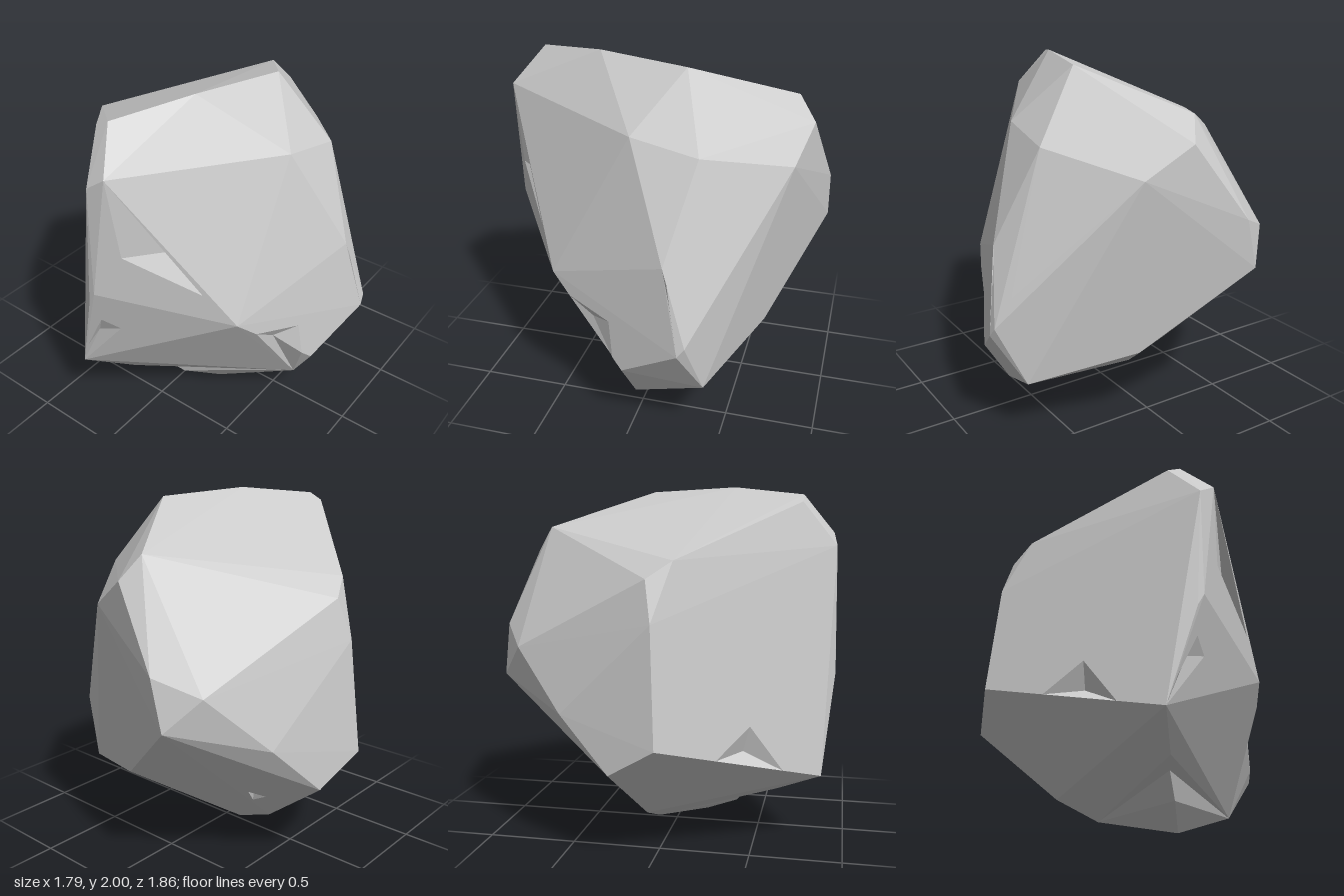
import * as THREE from 'three';
import { ConvexGeometry } from 'three/addons/geometries/ConvexGeometry.js';

const V = (x, y, z) => new THREE.Vector3(x, y, z);
const CENTRE = V(0, 1, 0);

// Corners of the boulder, from the crown down to the foot
const crown = [
  [0.3, 1.98, -0.2], [0.15, 2, 0.32], [-0.06, 1.95, 0.73], [-0.14, 1.91, 0.73],
  [-0.71, 1.61, 0.12], [-0.77, 1.52, -0.01], [-0.08, 1.77, -0.74],
];
const shoulder = [
  [0.05, 1.74, 0.9], [-0.05, 1.67, 0.92], [0.55, 1.67, 0.04], [0.58, 1.6, -0.33],
  [0.24, 1.47, -0.77], [-0.01, 1.64, -0.84], [-0.84, 1.3, 0.03],
];
const waist = [
  [-0.06, 1.02, 0.93], [-0.1, 0.95, 0.93], [0.56, 0.83, 0.5], [0.8, 1.08, -0.2],
  [0.89, 0.62, -0.3], [0.88, 0.67, -0.34], [-0.31, 1.22, -0.93], [-0.38, 0.94, -0.93],
  [-0.53, 1.12, -0.79], [-0.73, 0.8, -0.49], [-0.9, 0.67, 0.06],
];
const foot = [
  [-0.26, 0.4, 0.87], [0.77, 0.39, 0.04], [0.73, 0.335, -0.41], [0.17, 0.47, -0.65],
  [-0.83, 0.51, -0.2], [-0.41, 0.17, -0.09], [-0.17, 0.07, -0.07], [0.64, 0.17, 0],
  [0.2, 0, 0.16],
];

// Each chip: rim points on the surface, then a pit pushed in by depth
const chips = [
  { rim: [[0.08, 1.27, 0.84], [0.24, 1.45, 0.68], [0.37, 1.25, 0.62], [0.42, 1.04, 0.62]], pit: [0.25, 1.29, 0.7], depth: 0.08 },
  { rim: [[-0.68, 0.577, 0.34], [-0.42, 0.467, 0.67], [-0.55, 0.72, 0.52], [-0.48, 0.42, 0.55]], pit: [-0.54, 0.55, 0.5], depth: 0.08 },
  { rim: [[0.61, 0.72, 0.39], [0.74, 0.45, 0.1], [0.7, 0.67, 0.12]], pit: [0.665, 0.6, 0.26], depth: 0.05 },
  { rim: [[-0.1, 0.26, 0.62], [0.07, 0.11, 0.36], [0.14, 0.24, 0.5]], pit: [-0.01, 0.19, 0.49], depth: 0.06 },
  { rim: [[-0.08, 0.8, 0.9], [-0.2, 0.56, 0.88], [0, 0.72, 0.86]], pit: [-0.13, 0.68, 0.88], depth: 0.03 },
  { rim: [[0.82, 1, -0.23], [0.79, 0.85, -0.1], [0.8, 0.84, -0.38]], pit: [0.84, 0.86, -0.25], depth: 0.04 },
  { rim: [[-0.55, 0.34, -0.28], [-0.45, 0.3, -0.28], [-0.49, 0.38, -0.37]], pit: [-0.495, 0.34, -0.31], depth: 0.04 },
];

// Hull as a list of triangles that share their corner vectors
function hullTriangles(points) {
  const pos = new ConvexGeometry(points).getAttribute('position');
  const nearest = (p) => points.reduce((a, b) => (b.distanceToSquared(p) < a.distanceToSquared(p) ? b : a));
  const tris = [];
  for (let i = 0; i < pos.count; i += 3) {
    tris.push([0, 1, 2].map((k) => nearest(V(0, 0, 0).fromBufferAttribute(pos, i + k))));
  }
  return tris;
}

// Adds a point where the ray from the centre through p meets the surface
function insertPoint(tris, p, depth = 0) {
  const d = V(...p).sub(CENTRE);
  for (const tri of tris) {
    const [a, b, c] = tri.map((v) => v.clone().sub(CENTRE));
    const m = new THREE.Matrix3().set(a.x, b.x, c.x, a.y, b.y, c.y, a.z, b.z, c.z);
    if (Math.abs(m.determinant()) < 1e-9) continue;
    const w = d.clone().applyMatrix3(m.invert()).toArray();
    if (Math.min(...w) < -1e-9) continue;

    const sum = w[0] + w[1] + w[2];
    const least = w.indexOf(Math.min(...w));
    const onEdge = w[least] / sum < 0.05;
    const edge = tri.filter((_, k) => k !== least);
    const hit = d.clone().divideScalar(sum);
    if (onEdge) {
      // slide onto the edge so that both sides stay flat
      const [e, f] = edge;
      const dir = f.clone().sub(e);
      const t = hit.clone().add(CENTRE).sub(e).dot(dir) / dir.lengthSq();
      hit.copy(e).addScaledVector(dir, t).sub(CENTRE);
    }
    const q = hit.setLength(hit.length() - depth).add(CENTRE);

    return tris.flatMap((t) => {
      const touched = onEdge ? edge.every((v) => t.includes(v)) : t === tri;
      if (!touched) return [t];
      return [0, 1, 2]
        .filter((k) => !(onEdge && edge.includes(t[k]) && edge.includes(t[(k + 1) % 3])))
        .map((k) => [t[k], t[(k + 1) % 3], q]);
    });
  }
  return tris;
}

export function createModel() {
  const corners = [...crown, ...shoulder, ...waist, ...foot].map((p) => V(...p));
  let tris = hullTriangles(corners);
  for (const { rim, pit, depth } of chips) {
    for (const p of rim) tris = insertPoint(tris, p);
    tris = insertPoint(tris, pit, depth);
  }

  const geometry = new THREE.BufferGeometry().setFromPoints(tris.flat());
  geometry.computeVertexNormals();
  const boulder = new THREE.Mesh(
    geometry,
    new THREE.MeshStandardMaterial({ color: 0xcccccc, flatShading: true }),
  );
  boulder.name = 'boulder';

  const group = new THREE.Group();
  group.name = 'rock';
  group.add(boulder);
  return group;
}
